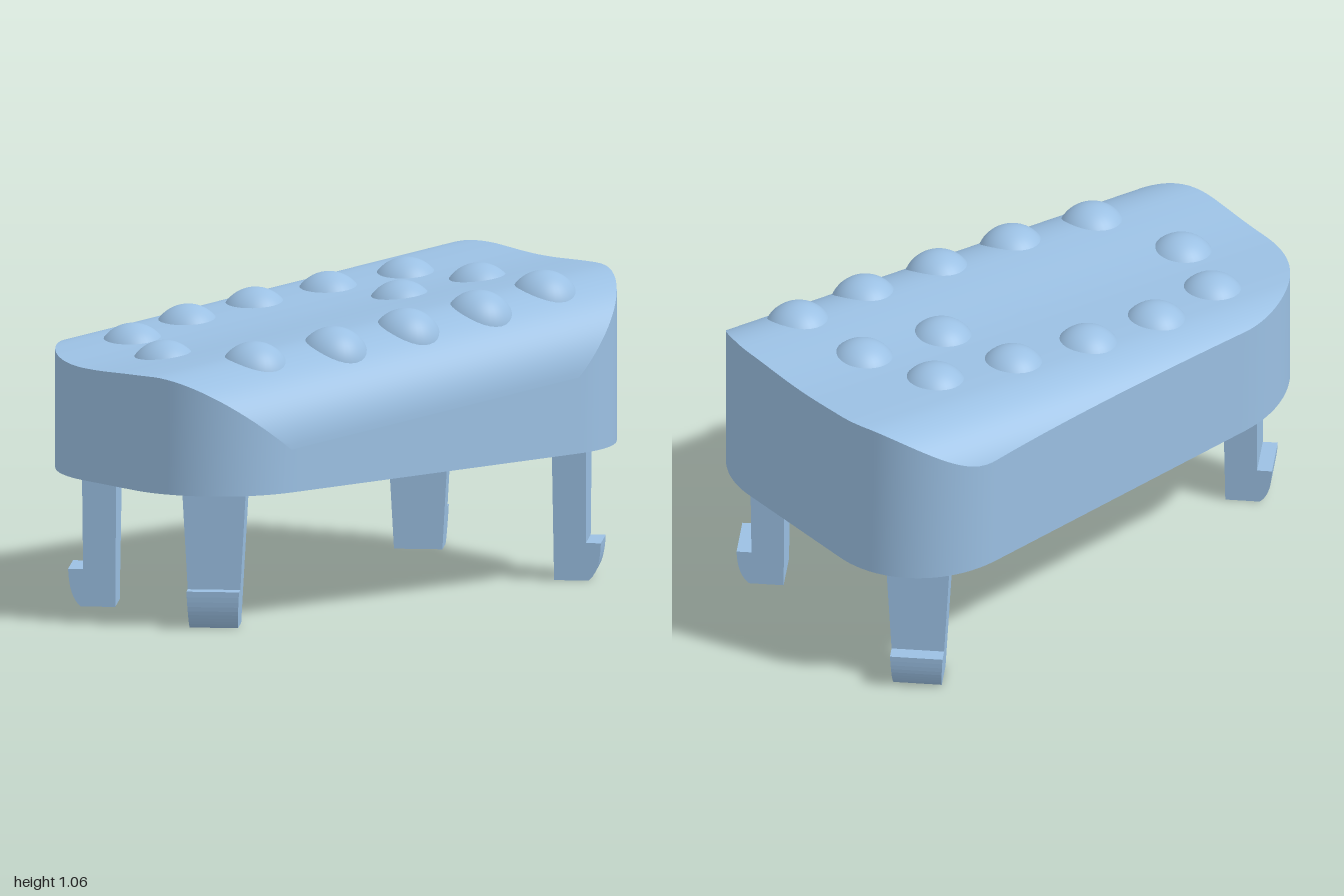
import * as THREE from 'three';

const BASE = 0.465; // height of the shell's lower rim

// Height of the sloping, slightly dished top with rounded front and back edges
function topHeight(x, z) {
  let f;
  if (z > 0.3) {
    const d = Math.min(1, (z - 0.3) / 0.3);
    f = -0.285 * (1 - Math.sqrt(1 - d * d));
  } else if (z < -0.36) {
    const d = Math.min(0.26, -0.36 - z);
    f = Math.sqrt(0.267 * 0.267 - d * d) - 0.267;
  } else {
    f = -0.012 * Math.cos(Math.PI * (z + 0.03) / 0.66) ** 2;
  }
  return 0.953 + 0.09 * x + f;
}

// Plan outline as x, z points: three round corners and a larger one at the back
function planOutline() {
  const s = new THREE.Shape();
  const k = 0.5523;
  const corner = (ax, az, cx, cz, bx, bz) => {
    s.lineTo(ax, az);
    s.bezierCurveTo(ax + (cx - ax) * k, az + (cz - az) * k,
      bx + (cx - bx) * k, bz + (cz - bz) * k, bx, bz);
  };
  s.moveTo(-0.62, 0.6);
  corner(0.65, 0.6, 1, 0.6, 1, 0.25);
  corner(1, -0.25, 1, -0.627, 0.6, -0.593);
  corner(-0.56, -0.495, -1, -0.458, -1, -0.05);
  corner(-1, 0.22, -1, 0.6, -0.62, 0.6);
  const pts = s.getSpacedPoints(200);
  pts.pop();
  return pts;
}

// Surface through a list of closed rings
function loft(rings) {
  const n = rings[0].length;
  const index = [];
  for (let r = 0; r < rings.length - 1; r++) {
    for (let i = 0; i < n; i++) {
      const j = (i + 1) % n;
      const a = r * n + i, b = r * n + j;
      index.push(a, b, b + n, a, b + n, a + n);
    }
  }
  const g = new THREE.BufferGeometry();
  g.setAttribute('position', new THREE.Float32BufferAttribute(rings.flat(2), 3));
  g.setIndex(index);
  g.computeVertexNormals();
  return g;
}

// Hooked clip leg: side profile extruded sideways, narrowing downwards
function clipGeometry() {
  const s = new THREE.Shape();
  s.moveTo(-0.077, 0);
  s.lineTo(0.04, 0);
  s.quadraticCurveTo(0.08, 0.03, 0.083, 0.13);
  s.lineTo(0.032, 0.13);
  s.lineTo(0.034, 0.468);
  s.lineTo(0.06, 0.475);
  s.lineTo(0.06, 0.5);
  s.lineTo(-0.083, 0.5);
  s.closePath();
  const g = new THREE.ExtrudeGeometry(s, { depth: 1, bevelEnabled: false, curveSegments: 10 });
  g.translate(0, 0, -0.5);
  const p = g.attributes.position;
  for (let i = 0; i < p.count; i++) p.setZ(i, p.getZ(i) * (0.165 + 0.11 * p.getY(i)));
  g.computeVertexNormals();
  return g;
}

export function createModel() {
  const model = new THREE.Group();
  model.name = 'clipOnCap';
  const blue = new THREE.MeshStandardMaterial({ color: 0x9bc0e3, side: THREE.DoubleSide });
  blue.name = 'lightBlue';

  const add = (name, geometry, parent = model) => {
    const m = new THREE.Mesh(geometry, blue);
    m.name = name;
    parent.add(m);
    return m;
  };

  // Hollow shell
  const outer = planOutline();
  const inner = outer.map(p => new THREE.Vector2(p.x * 0.925, p.y * 0.875));
  const ring = (pts, height, s = 1) =>
    pts.map(p => [p.x * s, height(p.x * s, p.y * s), p.y * s]);
  const flat = () => BASE;
  const ceiling = (x, z) => topHeight(x, z) - 0.06;
  const steps = Array.from({ length: 33 }, (_, k) => 1 - (k / 32) ** 2);

  add('topSurface', loft(steps.map(s => ring(outer, topHeight, s))));
  add('outerWall', loft([ring(outer, flat), ring(outer, topHeight)]));
  add('bottomRim', loft([ring(inner, flat), ring(outer, flat)]));
  add('innerWall', loft([ring(inner, ceiling), ring(inner, flat)]));
  add('ceiling', loft([...steps].reverse().map(s => ring(inner, ceiling, s))));

  // Domed bumps around the top; the front row leans with the rounded edge
  const bumps = new THREE.Group();
  bumps.name = 'bumps';
  model.add(bumps);
  const spots = [
    [-0.568, 0.34], [-0.248, 0.375], [0.072, 0.375], [0.392, 0.375], [0.7, 0.35],
    [-0.618, -0.243], [-0.33, -0.298], [-0.033, -0.298], [0.267, -0.268], [0.565, -0.217],
    [-0.703, 0.027], [0.348, 0.017], [0.667, 0.047],
  ];
  const dome = new THREE.SphereGeometry(0.125, 32, 14, 0, Math.PI * 2, 0, 1.28);
  for (const [x, z] of spots) {
    const bump = add('bump', dome, bumps);
    bump.position.set(x, topHeight(x, z) - 0.079, z);
    bump.rotation.x = z > 0.3 ? 0.22 : 0;
  }

  // Push post under the ceiling
  const post = new THREE.CylinderGeometry(0.21, 0.21, 0.36, 48);
  add('post', post).position.set(0.03, 0.74, 0.03);

  // Four clip legs, hooks facing the corners
  const clip = clipGeometry();
  const legs = [
    ['frontLeftLeg', 0.81, 0.404], ['frontRightLeg', -0.795, 0.404],
    ['backLeftLeg', 0.81, -0.438], ['backRightLeg', -0.8, -0.227],
  ];
  for (const [name, x, z] of legs) {
    const leg = add(name, clip);
    leg.position.set(x, 0, z);
    leg.rotation.y = Math.atan2(-Math.sign(z), Math.sign(x));
  }
  return model;
}
